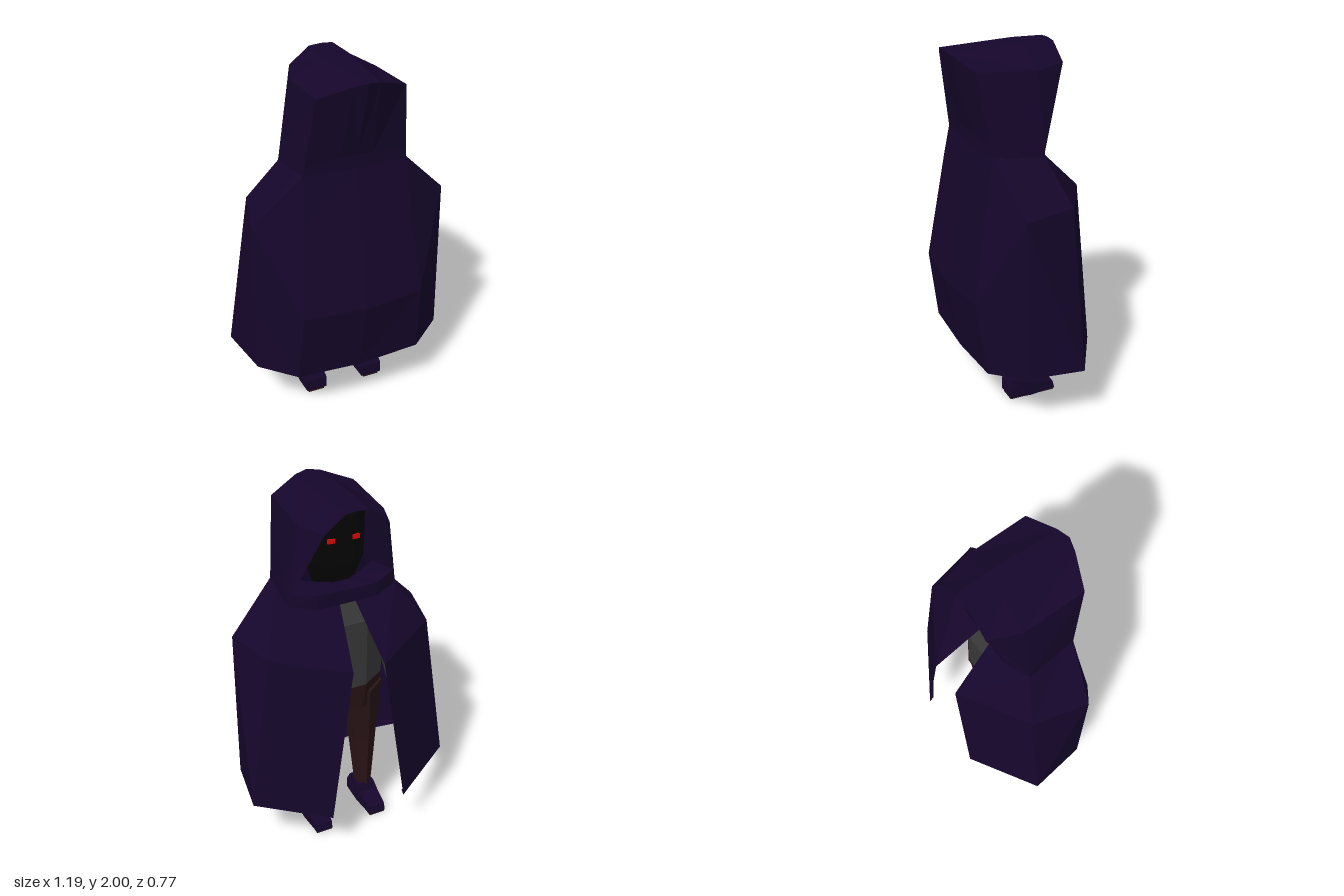
import * as THREE from 'three';

const mat = (color) => new THREE.MeshStandardMaterial({ color, flatShading: true, side: THREE.DoubleSide });
const CLOTH = mat(0x15062b), SHIRT = mat(0x383838), TROUSER = mat(0x2a1416);
const SKIN = mat(0x040404), EYE = mat(0xe00808);

// Symmetric faceted sheet: rows of points run from the centre line out to +x, then are mirrored.
// flip chooses the other diagonal of each panel.
function sheet(name, rows, flip = false) {
  const pos = [];
  const tri = (a, b, c) => {
    pos.push(...a, ...b, ...c);
    for (const p of [a, c, b]) pos.push(-p[0], p[1], p[2]);
  };
  for (let r = 0; r < rows.length - 1; r++) {
    for (let i = 0; i < rows[r].length - 1; i++) {
      const a = rows[r][i], b = rows[r][i + 1], d = rows[r + 1][i], e = rows[r + 1][i + 1];
      tri(a, d, flip ? e : b);
      tri(b, flip ? a : d, e);
    }
  }
  const g = new THREE.BufferGeometry();
  g.setAttribute('position', new THREE.Float32BufferAttribute(pos, 3));
  g.computeVertexNormals();
  return named(name, g, CLOTH);
}

function named(name, geometry, material) {
  const m = new THREE.Mesh(geometry, material);
  m.name = name;
  return m;
}

// Tapered limb between two points; depth stretches its section from front to back
function limb(name, from, to, r0, r1, material, depth = 1) {
  const a = new THREE.Vector3(...from), b = new THREE.Vector3(...to);
  const g = new THREE.CylinderGeometry(r1, r0, a.distanceTo(b), 6);
  g.scale(1, 1, depth);
  const m = named(name, g, material);
  m.position.copy(a).add(b).multiplyScalar(0.5);
  m.quaternion.setFromUnitVectors(new THREE.Vector3(0, 1, 0), b.sub(a).normalize());
  return m;
}

// Upright oval block with a tapered eight-sided cross-section
function block(name, y0, y1, bottom, top, depth, z, material) {
  const g = new THREE.CylinderGeometry(top, bottom, y1 - y0, 8);
  g.rotateY(Math.PI / 8);
  g.scale(1, 1, depth);
  g.translate(0, (y0 + y1) / 2, z);
  return named(name, g, material);
}

export function createModel() {
  const model = new THREE.Group();
  model.name = 'hoodedFigure';

  // Cloak: mantle over the shoulders, bulging back, and front panels that part towards the hem
  const sideTop = [0.54, 1.24, 0.165], sideHem = [0.545, 0.348, 0.165], sideLip = [0.51, 0.35, 0.15];
  const elbow = [0.465, 1.24, -0.135], chest = [0.09, 1.19, -0.358];
  const cloak = new THREE.Group();
  cloak.name = 'cloak';
  cloak.add(sheet('mantle', [
    [[0, 1.5, 0.25], [0.285, 1.5, 0.23], [0.291, 1.493, 0.165], [0.31, 1.47, -0.05], [0.045, 1.45, -0.11]],
    [[0, 1.24, 0.295], [0.3, 1.24, 0.272], sideTop, elbow, chest],
  ], true));
  cloak.add(sheet('cloakBack', [
    [[0, 1.24, 0.295], [0.3, 1.24, 0.272], sideTop],
    [[0, 0.72, 0.383], [0.34, 0.73, 0.355], [0.543, 0.72, 0.165]],
    [[0, 0.3, 0.31], [0.36, 0.315, 0.3], sideHem],
    [[0, 0.287, 0.22], [0.31, 0.3, 0.24], sideLip],
  ]));
  cloak.add(sheet('cloakFront', [
    [sideTop, elbow, chest],
    [sideHem, [0.595, 0.345, -0.157], [0.22, 0.29, -0.385]],
    [sideLip, [0.555, 0.35, -0.145], [0.225, 0.3, -0.355]],
  ], true));
  model.add(cloak);

  // Hood: arches from the front rim to the back, then down the back to the neck
  const hood = new THREE.Group();
  hood.name = 'hood';
  hood.add(sheet('hoodShell', [
    [[0, 2, -0.21], [0.065, 1.995, -0.21], [0.175, 1.91, -0.21], [0.305, 1.5, -0.05]],
    [[0, 2, -0.04], [0.07, 2, -0.04], [0.235, 1.9, -0.04], [0.31, 1.47, -0.05]],
    [[0, 2, 0.375], [0.07, 1.99, 0.357], [0.235, 1.93, 0.295], [0.285, 1.5, 0.23]],
    [[0, 1.58, 0.25], [0.09, 1.57, 0.246], [0.275, 1.55, 0.232], [0.285, 1.5, 0.23]],
    [[0, 1.5, 0.25], [0.09, 1.5, 0.245], [0.23, 1.5, 0.235], [0.285, 1.5, 0.23]],
  ]));
  // Collar: outer band across the throat, folding in towards the neck
  hood.add(sheet('collar', [
    [[0, 1.45, -0.05], [0.17, 1.45, -0.05], [0.29, 1.46, -0.03]],
    [[0, 1.45, -0.11], [0.17, 1.45, -0.11], [0.31, 1.47, -0.05]],
    [[0, 1.525, -0.11], [0.17, 1.53, -0.11], [0.298, 1.545, -0.05]],
    [[0, 1.54, -0.03], [0.1, 1.54, 0], [0.24, 1.55, 0.08]],
  ]));
  model.add(hood);

  // Head in shadow with two small eyes
  model.add(block('head', 1.64, 1.9, 0.165, 0.17, 0.8, 0.065, SKIN));
  model.add(block('jaw', 1.48, 1.64, 0.1, 0.165, 0.8, 0.065, SKIN));
  for (const s of [1, -1]) {
    const eye = named('eye', new THREE.BoxGeometry(0.038, 0.024, 0.01), EYE);
    eye.position.set(s * 0.07, 1.79, -0.06);
    model.add(eye);
  }

  // Torso
  model.add(block('shirt', 0.94, 1.34, 0.25, 0.25, 0.65, 0, SHIRT));
  model.add(block('shoulders', 1.34, 1.48, 0.25, 0.12, 0.6, 0, SHIRT));
  model.add(block('hips', 0.78, 0.94, 0.23, 0.25, 0.65, 0, TROUSER));

  // Shoe outline seen from the side, toe towards -z
  const profile = [[-0.105, 0.02], [-0.105, 0.09], [-0.09, 0.13], [0.03, 0.13], [0.045, 0.085], [0.165, 0.055], [0.175, 0.01], [0.02, 0.008]];
  const shoeShape = new THREE.Shape(profile.map(([u, y]) => new THREE.Vector2(u, y)));

  // Arms and legs on both sides
  for (const s of [1, -1]) {
    const side = s > 0 ? 'left' : 'right';
    model.add(limb(side + 'UpperArm', [s * 0.3, 1.1, 0.01], [s * 0.22, 1.38, 0], 0.06, 0.08, SHIRT));
    model.add(limb(side + 'Forearm', [s * 0.36, 0.77, -0.03], [s * 0.3, 1.1, 0.01], 0.045, 0.06, SHIRT));
    model.add(limb(side + 'Hand', [s * 0.375, 0.67, -0.04], [s * 0.36, 0.77, -0.03], 0.032, 0.047, CLOTH));
    model.add(limb(side + 'Thigh', [s * 0.155, 0.5, 0.01], [s * 0.125, 0.88, 0], 0.078, 0.125, TROUSER, 1.15));
    model.add(limb(side + 'Shin', [s * 0.172, 0.1, 0.022], [s * 0.155, 0.5, 0.01], 0.046, 0.078, TROUSER, 1.15));

    const g = new THREE.ExtrudeGeometry(shoeShape, { depth: 0.12, bevelEnabled: false });
    g.rotateY(Math.PI / 2);
    g.translate(-0.06, 0, 0);
    // Narrow the toe and the ankle a little
    const p = g.attributes.position;
    for (let i = 0; i < p.count; i++) {
      const k = p.getZ(i) < -0.1 || p.getY(i) > 0.1 ? 0.82 : 1;
      p.setX(i, p.getX(i) * k);
    }
    g.computeVertexNormals();
    const shoe = named(side + 'Shoe', g, CLOTH);
    shoe.position.x = s * 0.173;
    const sole = named(side + 'Sole', new THREE.BoxGeometry(0.095, 0.012, 0.27), TROUSER);
    sole.position.set(s * 0.173, 0.008, -0.036);
    sole.rotation.x = -0.02;
    model.add(shoe, sole);
  }
  return model;
}
